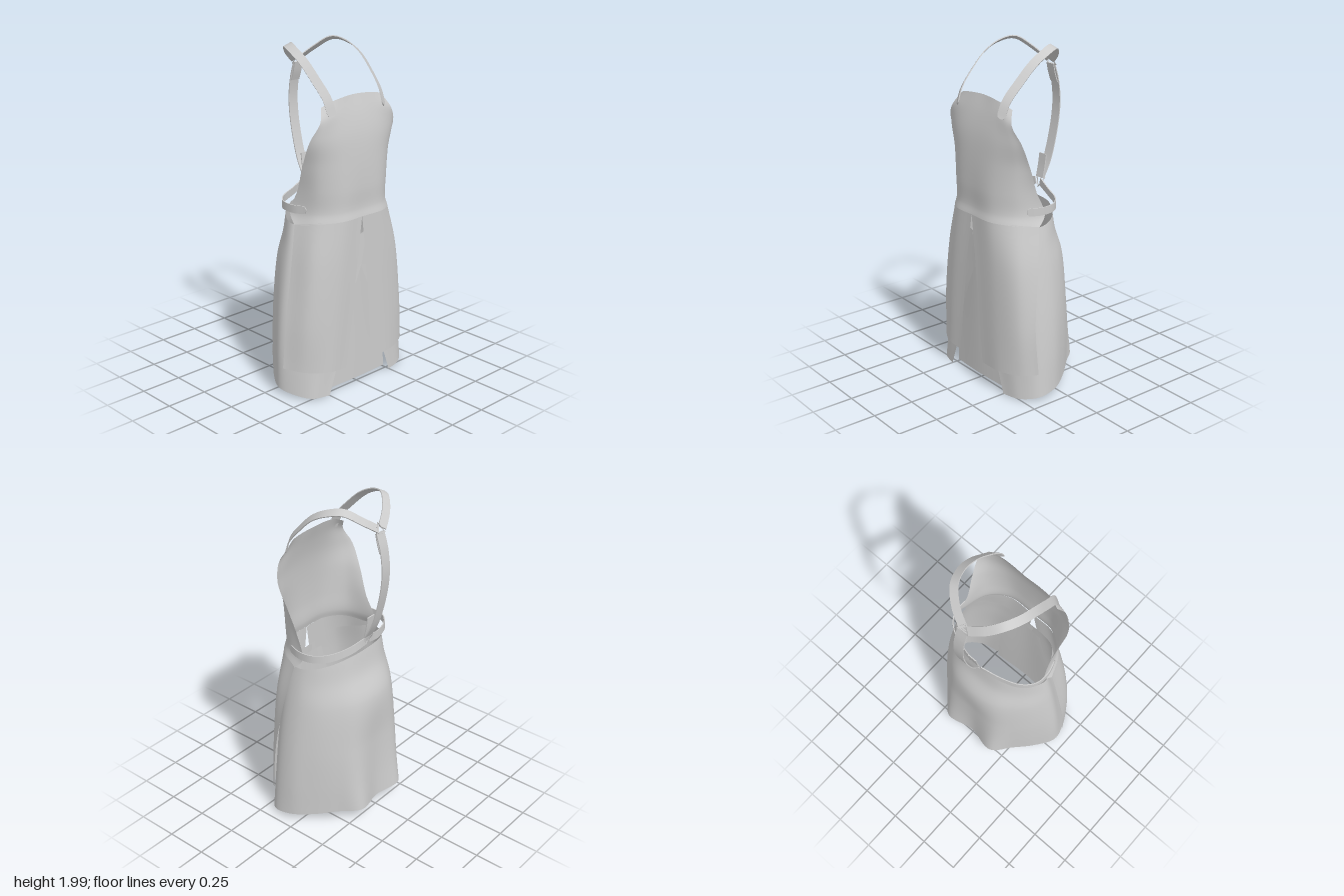
import * as THREE from 'three';
import { toCreasedNormals } from 'three/addons/utils/BufferGeometryUtils.js';

const material = new THREE.MeshStandardMaterial({ color: 0xcccccc, side: THREE.DoubleSide });
const V = (p) => new THREE.Vector3(...p);
const flip = ([x, y, z]) => [-x, y, z];
// Full row from a half row that starts on the centre line
const mirrorRow = (row, mirror) => [...row.slice(1).reverse().map(mirror), ...row];
// Right half of the skirt: side tucked in under the panel, flap edge over the left one
const flipSkirt = ([x, y, z]) => {
  if (z > 0.27) return [-x, y, z + 0.006];
  return z > 0.1 && z < 0.2 ? [0.015 - x, y, z - 0.04] : [-x, y, z];
};

function geometryFrom(pos, index) {
  const g = new THREE.BufferGeometry();
  g.setAttribute('position', new THREE.Float32BufferAttribute(pos, 3));
  g.setIndex(index);
  g.computeVertexNormals();
  return g;
}

// Smooth cloth sheet through rows of control points
function cloth(name, rows, nu, nv) {
  const curves = rows.map((r) => new THREE.CatmullRomCurve3(r.map(V)));
  const pos = [], index = [];
  for (let i = 0; i <= nu; i++) {
    const column = new THREE.CatmullRomCurve3(curves.map((c) => c.getPoint(i / nu)));
    for (let j = 0; j <= nv; j++) pos.push(...column.getPoint(j / nv).toArray());
  }
  for (let i = 0; i < nu; i++) for (let j = 0; j < nv; j++) {
    const a = i * (nv + 1) + j, b = a + nv + 1;
    index.push(a, a + 1, b, b, a + 1, b + 1);
  }
  const mesh = new THREE.Mesh(geometryFrom(pos, index), material);
  mesh.name = name;
  return mesh;
}

// Flat strap along a path; outward(p) gives the direction its face looks
function strap(name, points, width, outward, roundStart = false, n = 48) {
  const curve = new THREE.CatmullRomCurve3(points.map(V));
  const length = curve.getLength(), half = width / 2, thick = 0.003;
  const pos = [], index = [];
  for (let i = 0; i <= n; i++) {
    // Samples gather near the start so a round end stays smooth
    const t = roundStart ? Math.pow(i / n, 1.6) : i / n;
    const p = curve.getPointAt(t), T = curve.getTangentAt(t);
    const W = T.clone().cross(outward(p)).normalize();
    const N = W.clone().cross(T);
    const k = Math.min(1, (t * length) / half);
    const w = roundStart ? half * Math.max(0.1, Math.sqrt(1 - (1 - k) ** 2)) : half;
    for (const [a, b] of [[1, 1], [-1, 1], [-1, -1], [1, -1]]) {
      pos.push(...p.clone().addScaledVector(N, a * thick).addScaledVector(W, b * w).toArray());
    }
  }
  for (let i = 0; i < n; i++) for (let k = 0; k < 4; k++) {
    const a = i * 4 + k, b = i * 4 + ((k + 1) % 4);
    index.push(a, b, a + 4, b, b + 4, a + 4);
  }
  const e = n * 4;
  index.push(0, 3, 2, 0, 2, 1, e, e + 1, e + 2, e, e + 2, e + 3);
  const mesh = new THREE.Mesh(toCreasedNormals(geometryFrom(pos, index), 0.7), material);
  mesh.name = name;
  return mesh;
}

// Three-sided wire ring joining straps
function triangleRing(name, position, radius, turn, tilt) {
  const mesh = new THREE.Mesh(new THREE.TorusGeometry(radius, 0.004, 8, 3).rotateZ(turn), material);
  mesh.position.set(...position);
  mesh.rotation.x = tilt;
  mesh.name = name;
  return mesh;
}

export function createModel() {
  const apron = new THREE.Group();
  apron.name = 'apron';

  // Bib, narrowing and leaning back towards the chest
  const bib = [
    [[0, 1.738, 0.215], [0.1, 1.733, 0.22], [0.18, 1.72, 0.218], [0.237, 1.695, 0.2]],
    [[0, 1.63, 0.25], [0.14, 1.63, 0.25], [0.22, 1.63, 0.246], [0.276, 1.62, 0.235]],
    [[0, 1.52, 0.275], [0.17, 1.52, 0.268], [0.27, 1.52, 0.24], [0.325, 1.52, 0.205]],
    [[0, 1.38, 0.29], [0.17, 1.38, 0.275], [0.27, 1.38, 0.22], [0.32, 1.37, 0.14]],
    [[0, 1.22, 0.296], [0.16, 1.22, 0.283], [0.265, 1.22, 0.21], [0.308, 1.22, 0.085]],
    [[0, 1.1, 0.293], [0.16, 1.1, 0.284], [0.268, 1.095, 0.2], [0.321, 1.085, 0.035]],
    [[0, 1.052, 0.302], [0.16, 1.05, 0.296], [0.277, 1.042, 0.215], [0.336, 1.02, 0.088]],
  ].map((row) => mirrorRow(row, flip));
  apron.add(cloth('bib', bib, 48, 36));

  // Two outer front panels, parted by a centre slit
  apron.add(cloth('leftFrontPanel', [
    [[-0.012, 1.055, 0.298], [0.16, 1.055, 0.292], [0.275, 1.048, 0.215], [0.335, 1.025, 0.088]],
    [[0.018, 0.8, 0.3], [0.2, 0.8, 0.295], [0.325, 0.8, 0.24], [0.38, 0.8, 0.13]],
    [[0.05, 0.45, 0.3], [0.22, 0.45, 0.297], [0.35, 0.45, 0.255], [0.42, 0.45, 0.178]],
    [[0.078, 0.15, 0.3], [0.24, 0.155, 0.297], [0.37, 0.165, 0.25], [0.447, 0.178, 0.176]],
  ], 24, 24));
  apron.add(cloth('rightFrontPanel', [
    [[-0.335, 1.025, 0.088], [-0.275, 1.048, 0.215], [-0.16, 1.055, 0.292], [-0.012, 1.055, 0.298]],
    [[-0.372, 0.8, 0.1], [-0.325, 0.8, 0.23], [-0.2, 0.8, 0.298], [-0.05, 0.8, 0.303]],
    [[-0.428, 0.45, 0.11], [-0.368, 0.45, 0.235], [-0.24, 0.45, 0.3], [-0.095, 0.45, 0.305]],
    [[-0.452, 0.185, 0.108], [-0.385, 0.175, 0.222], [-0.27, 0.165, 0.297], [-0.135, 0.155, 0.306]],
  ], 24, 24));

  // Wrap skirt: round the back, with flaps crossing under the front panels
  const skirt = [
    [[0, 1.08, -0.155], [0.14, 1.075, -0.14], [0.23, 1.055, -0.095], [0.295, 1.035, -0.03],
      [0.322, 1.02, 0.05], [0.302, 1.01, 0.15], [0.2, 0.98, 0.245], [-0.04, 0.93, 0.278]],
    [[0, 0.955, -0.18], [0.14, 0.95, -0.165], [0.24, 0.94, -0.11], [0.31, 0.93, -0.035],
      [0.343, 0.92, 0.05], [0.325, 0.91, 0.155], [0.22, 0.88, 0.248], [-0.02, 0.85, 0.278]],
    [[0, 0.79, -0.245], [0.15, 0.79, -0.22], [0.255, 0.785, -0.15], [0.335, 0.78, -0.055],
      [0.37, 0.78, 0.05], [0.352, 0.77, 0.16], [0.24, 0.76, 0.25], [0, 0.76, 0.278]],
    [[0, 0.5, -0.245], [0.17, 0.5, -0.24], [0.275, 0.5, -0.168], [0.365, 0.5, -0.06],
      [0.411, 0.5, 0.05], [0.395, 0.5, 0.165], [0.28, 0.52, 0.255], [0.085, 0.55, 0.278]],
    [[0, 0.27, -0.25], [0.175, 0.28, -0.262], [0.28, 0.28, -0.175], [0.372, 0.27, -0.065],
      [0.432, 0.27, 0.05], [0.422, 0.27, 0.17], [0.32, 0.25, 0.25], [0.165, 0.25, 0.278]],
    [[0, 0.08, -0.258], [0.178, 0.09, -0.288], [0.275, 0.08, -0.182], [0.37, 0.06, -0.07],
      [0.44, 0.045, 0.05], [0.445, 0.03, 0.17], [0.36, 0.012, 0.25], [0.25, 0.008, 0.278]],
  ].map((row) => mirrorRow(row, flipSkirt));
  apron.add(cloth('wrapSkirt', skirt, 112, 40));

  // Inner panel behind the flaps
  apron.add(cloth('innerPanel', [
    [[0, 0.9, 0.265], [0.1, 0.9, 0.26]],
    [[0, 0.5, 0.265], [0.19, 0.5, 0.25]],
    [[0, 0.04, 0.268], [0.225, 0.035, 0.255]],
  ].map((row) => mirrorRow(row, flip)), 16, 16));

  // Shoulder straps and waist straps, one of each per side
  const shoulderPath = [[0.2, 1.645, 0.252], [0.204, 1.735, 0.216], [0.213, 1.83, 0.135], [0.216, 1.92, 0.04],
    [0.207, 1.968, -0.05], [0.172, 1.985, -0.14], [0.1, 1.93, -0.21], [0.015, 1.868, -0.252]];
  const waistPath = [[0.301, 1.115, 0.148], [0.325, 1.11, 0.06], [0.313, 1.11, -0.03],
    [0.25, 1.113, -0.1], [0.13, 1.125, -0.15], [0.02, 1.155, -0.178]];
  for (const [side, s] of [['left', 1], ['right', -1]]) {
    const path = (points) => (s > 0 ? points : points.map(flip));
    const shoulder = new THREE.Vector3(0.08 * s, 1.68, 0.02);
    apron.add(strap(side + 'ShoulderStrap', path(shoulderPath), 0.05, (p) => p.clone().sub(shoulder), true));
    apron.add(strap(side + 'WaistStrap', path(waistPath), 0.046, (p) => new THREE.Vector3(p.x, 0, p.z), true));
  }

  // Back strap bowing out between the two rings, with its folded ends
  const fromBack = (p) => new THREE.Vector3(0, p.y - 1.5, p.z);
  apron.add(strap('backStrap', [[0.012, 1.85, -0.26], [0.012, 1.76, -0.287], [0.012, 1.65, -0.302],
    [0.012, 1.55, -0.298], [0.012, 1.42, -0.275], [0.012, 1.28, -0.235], [0.012, 1.18, -0.185]], 0.066, fromBack));
  apron.add(strap('upperStrapFold', [[0.012, 1.85, -0.252], [0.012, 1.79, -0.266], [0.012, 1.74, -0.283]], 0.06, fromBack, false, 8));
  apron.add(strap('lowerStrapFold', [[0.012, 1.18, -0.18], [0.012, 1.25, -0.195], [0.012, 1.32, -0.205]], 0.06, fromBack, false, 8));
  apron.add(triangleRing('upperRing', [0.012, 1.864, -0.256], 0.042, Math.PI / 2, 0.35));
  apron.add(triangleRing('lowerRing', [0.012, 1.165, -0.183], 0.042, -Math.PI / 2, -0.35));
  return apron;
}
